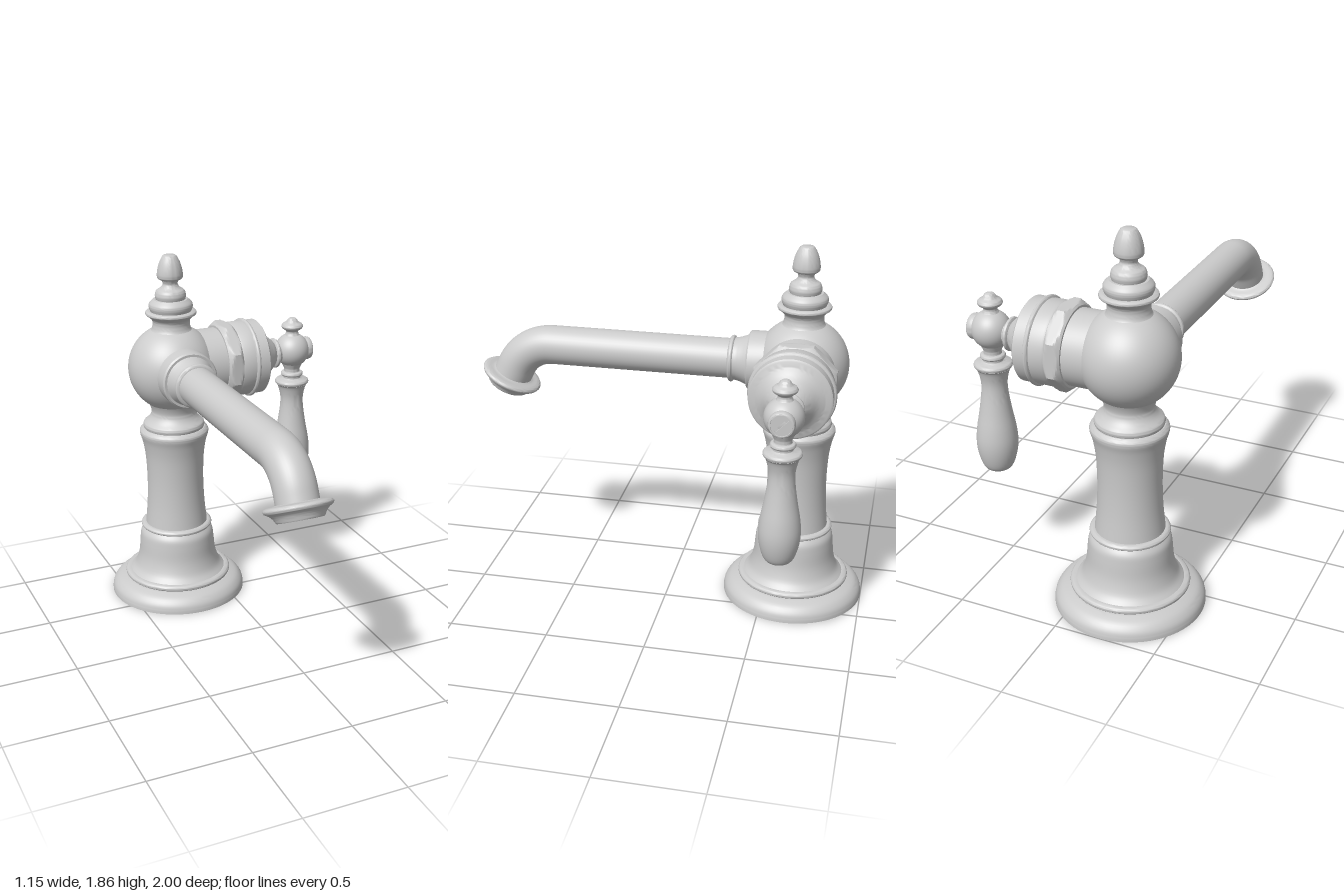
import * as THREE from 'three';
import { toCreasedNormals } from 'three/addons/utils/BufferGeometryUtils.js';

const material = new THREE.MeshStandardMaterial({ color: 0xcccccc, side: THREE.DoubleSide });
const AX = -0.22, AZ = -0.64, MID = 1.27; // body axis and height of the cross axes
const HX = 0.473; // handle axis

function add(parent, name, geometry) {
  const mesh = new THREE.Mesh(geometry, material);
  mesh.name = name;
  parent.add(mesh);
  return mesh;
}

// Turned part: each strip of [radius, height] points is smoothed, strips meet at sharp edges
function turned(strips, sides = 48) {
  const pts = [];
  for (const strip of strips) {
    const v = strip.map(([r, y]) => new THREE.Vector2(r, y));
    const out = v.length > 2 ? new THREE.SplineCurve(v).getPoints((v.length - 1) * 4) : v;
    for (const p of out) {
      p.x = Math.max(p.x, 0);
      if (!pts.length || pts[pts.length - 1].distanceTo(p) > 1e-4) pts.push(p);
    }
  }
  return toCreasedNormals(new THREE.LatheGeometry(pts, sides), 0.7);
}

// Half-round bead between two heights
function bead(r, y0, y1, bulge) {
  const h = (y1 - y0) / 2;
  return [[r, y0], [r + bulge * 0.75, y0 + h * 0.4], [r + bulge, y0 + h], [r + bulge * 0.75, y1 - h * 0.4], [r, y1]];
}

// Octagonal nut with chamfered corners, axis along y
function nut(length) {
  const g = new THREE.CylinderGeometry(1, 1, length, 96, 10);
  const p = g.attributes.position;
  for (let i = 0; i < p.count; i++) {
    const x = p.getX(i), z = p.getZ(i), y = p.getY(i);
    if (Math.hypot(x, z) < 0.5) continue;
    const a = Math.atan2(z, x), step = Math.PI / 4;
    const off = a - Math.round(a / step) * step;
    const edge = Math.min(1, (length / 2 - Math.abs(y)) / 0.025);
    const r = Math.min(0.197 / Math.cos(off), 0.188 + 0.025 * edge);
    p.setXYZ(i, Math.cos(a) * r, y, Math.sin(a) * r);
  }
  return toCreasedNormals(g, 0.5);
}

export function createModel() {
  const model = new THREE.Group();
  model.name = 'faucet';

  // Pedestal
  const body = new THREE.Group();
  body.name = 'body';
  body.position.set(AX, 0, AZ);
  model.add(body);
  add(body, 'pedestal', turned([
    [[0, 0], [0.36, 0]],
    [[0.36, 0.015], [0.352, 0.045], [0.325, 0.075], [0.28, 0.093]],
    bead(0.275, 0.093, 0.122, 0.01),
    [[0.255, 0.122], [0.228, 0.155], [0.208, 0.22], [0.2, 0.3], [0.193, 0.345], [0.175, 0.372]],
    bead(0.175, 0.372, 0.4, 0.015),
    [[0.165, 0.4], [0.154, 0.52], [0.15, 0.65], [0.155, 0.78], [0.168, 0.865], [0.181, 0.91], [0.18, 0.93], [0.165, 0.945]],
    [[0.158, 0.945], [0.162, 0.957], [0.158, 0.972]],
    [[0.158, 0.972], [0.13, 0.998], [0.116, 1.03], [0.123, 1.065], [0.14, 1.1]],
  ], 64));
  add(body, 'valveBall', new THREE.SphereGeometry(0.23, 64, 40)).position.y = MID;

  // Cap and finial
  add(body, 'finial', turned([
    [[0.13, 1.45], [0.105, 1.475], [0.096, 1.505], [0.1, 1.53], [0.122, 1.552]],
    bead(0.122, 1.552, 1.575, 0.01),
    [[0.106, 1.575], [0.113, 1.595], [0.11, 1.615], [0.088, 1.636]],
    [[0.076, 1.636], [0.08, 1.655], [0.072, 1.68], [0.05, 1.695], [0.038, 1.715], [0.045, 1.735]],
    [[0.055, 1.738], [0.066, 1.75], [0.064, 1.785], [0.053, 1.825], [0.036, 1.858]],
    [[0.03, 1.862], [0, 1.862]],
  ]));

  // Side valve along +x, measured in world x
  const valve = new THREE.Group();
  valve.name = 'sideValve';
  valve.position.set(0, MID, AZ);
  valve.rotation.z = -Math.PI / 2;
  model.add(valve);
  add(valve, 'barrel', turned([[[0.178, AX + 0.1], [0.178, 0.04]]], 64));
  add(valve, 'nut', nut(0.085)).position.y = 0.07;
  add(valve, 'bonnet', turned([
    [[0.19, 0.1], [0.197, 0.115]],
    [[0.197, 0.115], [0.197, 0.178]],
    bead(0.197, 0.178, 0.203, 0.012),
    [[0.197, 0.203], [0.197, 0.255]],
    [[0.197, 0.255], [0.188, 0.262]],
    [[0.165, 0.262], [0.132, 0.283], [0.105, 0.312], [0.083, 0.338], [0.066, 0.354]],
    bead(0.066, 0.354, 0.378, 0.014),
    [[0.06, 0.378], [0.05, 0.388], [0.05, 0.41]],
  ], 64));

  // Handle hub with screw cap
  const handle = new THREE.Group();
  handle.name = 'handle';
  handle.position.set(HX, 0, AZ);
  model.add(handle);
  add(handle, 'hub', new THREE.SphereGeometry(0.093, 40, 28)).position.y = MID + 0.005;
  const rim = add(handle, 'screwRim', turned([
    [[0.06, 0.06], [0.062, 0.085], [0.057, 0.1], [0.05, 0.102]],
    [[0.05, 0.102], [0.048, 0.09]], [[0.048, 0.09], [0, 0.09]],
  ]));
  rim.rotation.z = -Math.PI / 2;
  rim.position.y = MID + 0.005;
  const face = new THREE.Shape().absarc(0, 0, 0.049, 0, Math.PI * 2);
  const c = Math.SQRT1_2, corner = (u, v) => new THREE.Vector2((u - v) * c, (u + v) * c);
  face.holes.push(new THREE.Path([
    corner(-0.042, -0.006), corner(-0.042, 0.006), corner(0.042, 0.006), corner(0.042, -0.006),
  ]));
  const screw = add(handle, 'slottedScrew',
    new THREE.ExtrudeGeometry(face, { depth: 0.008, bevelEnabled: false, curveSegments: 32 }));
  screw.rotation.y = Math.PI / 2;
  screw.position.set(0.09, MID + 0.005, 0);

  // Handle grip and top knob
  add(handle, 'grip', turned([
    [[0, 0.54], [0.035, 0.544], [0.068, 0.565], [0.09, 0.625], [0.099, 0.695], [0.093, 0.77], [0.077, 0.86],
      [0.064, 0.95], [0.062, 1.01], [0.072, 1.06], [0.082, 1.085]],
    bead(0.08, 1.085, 1.113, 0.011),
    [[0.058, 1.113], [0.047, 1.12], [0.047, 1.13]],
    bead(0.048, 1.13, 1.155, 0.012),
    [[0.043, 1.155], [0.042, 1.17], [0.055, 1.2]],
  ], 40));
  add(handle, 'topKnob', turned([
    [[0.05, 1.345], [0.036, 1.365], [0.033, 1.382], [0.052, 1.396]],
    [[0.052, 1.396], [0.059, 1.408], [0.052, 1.421]],
    [[0.052, 1.421], [0.034, 1.432], [0.026, 1.444], [0.016, 1.453], [0, 1.456]],
  ], 32));

  // Spout collar along +z, measured in world z
  const collar = add(model, 'spoutCollar', turned([
    [[0.147, AZ + 0.1], [0.147, -0.385]],
    [[0.147, -0.385], [0.14, -0.377]],
    [[0.128, -0.377], [0.118, -0.355], [0.108, -0.325], [0.106, -0.306]],
    bead(0.106, -0.306, -0.281, 0.01),
    [[0.106, -0.281], [0.095, -0.281]],
  ]));
  collar.rotation.x = Math.PI / 2;
  collar.position.set(AX, MID, 0);

  // Spout tube: straight run, bend and short drop
  const at = (z, y) => new THREE.Vector3(AX, y, z);
  const path = new THREE.CurvePath();
  path.add(new THREE.LineCurve3(at(-0.45, MID), at(0.631, MID)));
  path.add(new THREE.CubicBezierCurve3(at(0.631, MID), at(0.717, MID), at(0.794, 1.222), at(0.831, 1.146)));
  path.add(new THREE.LineCurve3(at(0.831, 1.146), at(0.859, 1.087)));
  add(model, 'spoutTube', new THREE.TubeGeometry(path, 100, 0.099, 40));

  // Outlet at the end of the spout
  const outlet = new THREE.Group();
  outlet.name = 'outlet';
  outlet.position.set(AX, 1.092, 0.857);
  outlet.rotation.x = Math.PI - Math.asin(0.43);
  model.add(outlet);
  add(outlet, 'outletFlange', turned([
    [[0.095, -0.015], [0.11, -0.01], [0.135, -0.008], [0.15, -0.004]],
    [[0.15, -0.004], [0.157, 0.006], [0.152, 0.018]],
    [[0.152, 0.018], [0.132, 0.03], [0.118, 0.045], [0.11, 0.06]],
    [[0.11, 0.06], [0.105, 0.065]],
    [[0.105, 0.065], [0.086, 0.065]],
    [[0.086, 0.065], [0.086, 0.035]],
    [[0.086, 0.035], [0, 0.035]],
  ]));
  // Aerator screen
  for (let i = -5; i <= 5; i++) {
    const d = i * 0.015, len = 2 * Math.sqrt(0.086 ** 2 - d * d);
    add(outlet, 'screenWire', new THREE.BoxGeometry(len, 0.004, 0.004)).position.set(0, 0.047, d);
    add(outlet, 'screenWire', new THREE.BoxGeometry(0.004, 0.004, len)).position.set(d, 0.049, 0);
  }
  return model;
}
